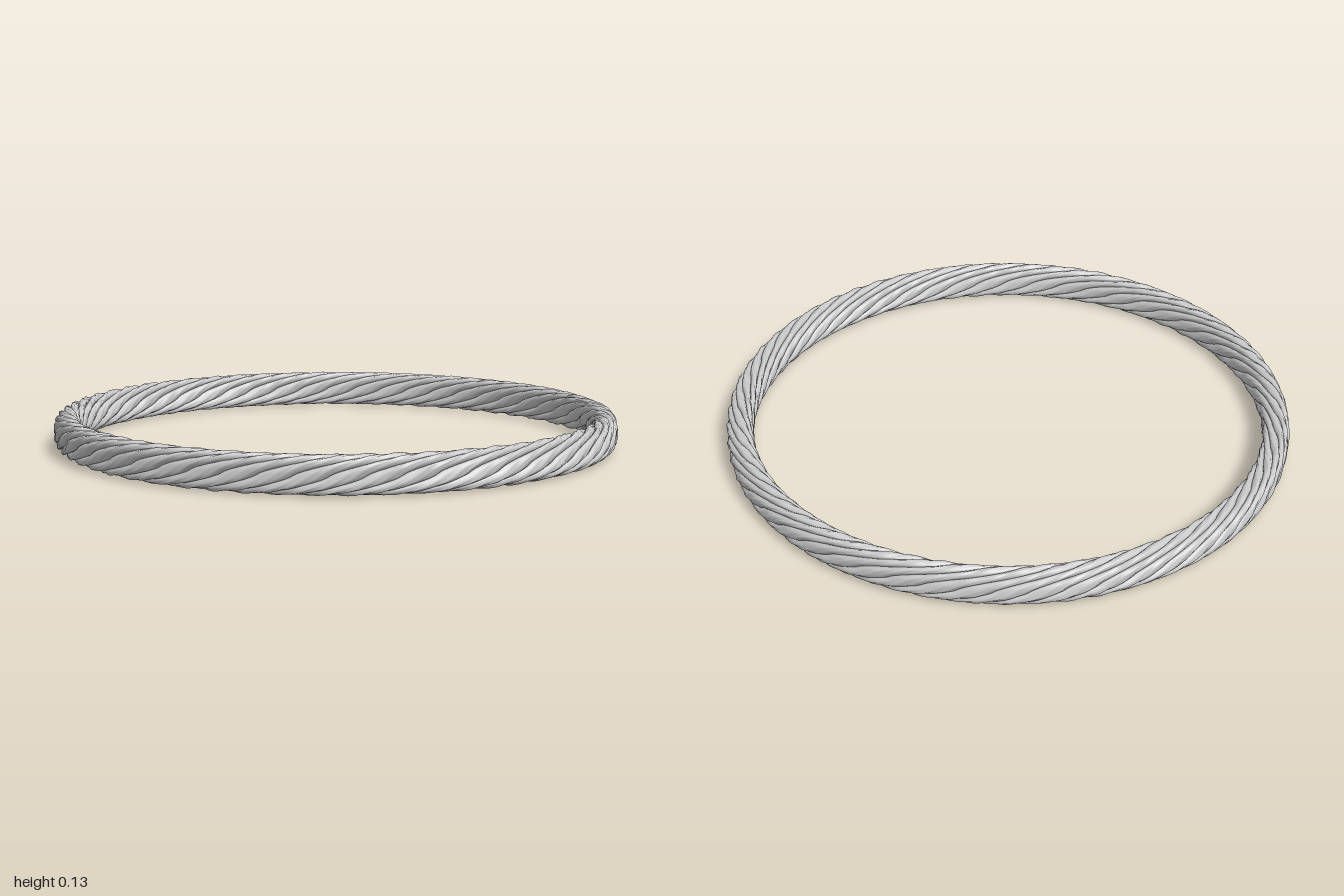
import * as THREE from 'three';

const STRANDS = 9, TURNS = 6;          // strands in the rope, twists around the ring
const ALONG = 540, ACROSS = 12;        // mesh divisions of one strand
const RING = 0.949, SQUASH = 0.987;    // ring radius, slight ovalness in z
const HALF_W = 0.047, HALF_H = 0.064;  // half width and half height of the rope

// Rounded-rectangle curve for the rope's section
const soften = (v) => Math.sign(v) * Math.pow(Math.abs(v), 0.8);

// Surface point: a = angle around the ring, k = strand, t = 0..1 across it
function ropePoint(a, k, t) {
  // gentle irregularity, zero at the strand's borders so neighbours meet
  const bulge = Math.sin(Math.PI * t);
  const phase = k * 2.4;
  const wander = 0.05 * Math.sin(7 * a + k * TURNS) ;
  const p = ((k + t) / STRANDS) * Math.PI * 2 - TURNS * a + wander * bulge;

  // strand roundness, with fine fibres twisted along it
  const fibre = 0.0016 * Math.sin(t * Math.PI * 6 + 36 * a + phase)
    + 0.001 * Math.sin(61 * a + phase * 3 + t * 5);
  const depth = -0.017 * (1 - Math.sqrt(bulge < 0 ? 0 : bulge)) + fibre * bulge;

  const c = Math.cos(p), s = Math.sin(p);
  const r = RING + soften(c) * HALF_W + c * depth;
  const y = HALF_H + soften(s) * HALF_H + s * depth;
  return [r * Math.cos(a), y, r * Math.sin(a) * SQUASH];
}

// One strand: a rounded ribbon winding around the ring and closing on itself
function strandGeometry(k) {
  const positions = [], index = [];
  const row = ACROSS + 1;
  for (let i = 0; i < ALONG; i++) {
    for (let j = 0; j <= ACROSS; j++) {
      // cosine spacing puts more points near the grooves
      const t = (1 - Math.cos((j / ACROSS) * Math.PI)) / 2;
      positions.push(...ropePoint((i / ALONG) * Math.PI * 2, k, t));
      if (j < ACROSS) {
        const a = i * row + j, b = ((i + 1) % ALONG) * row + j;
        index.push(a, a + 1, b, b, a + 1, b + 1);
      }
    }
  }
  const geometry = new THREE.BufferGeometry();
  geometry.setAttribute('position', new THREE.Float32BufferAttribute(positions, 3));
  geometry.setIndex(index);
  geometry.computeVertexNormals();
  return geometry;
}

export function createModel() {
  const model = new THREE.Group();
  model.name = 'ropeRing';
  const material = new THREE.MeshStandardMaterial({ color: 0xcccccc });
  for (let k = 0; k < STRANDS; k++) {
    const strand = new THREE.Mesh(strandGeometry(k), material);
    strand.name = `strand${k + 1}`;
    model.add(strand);
  }
  return model;
}
